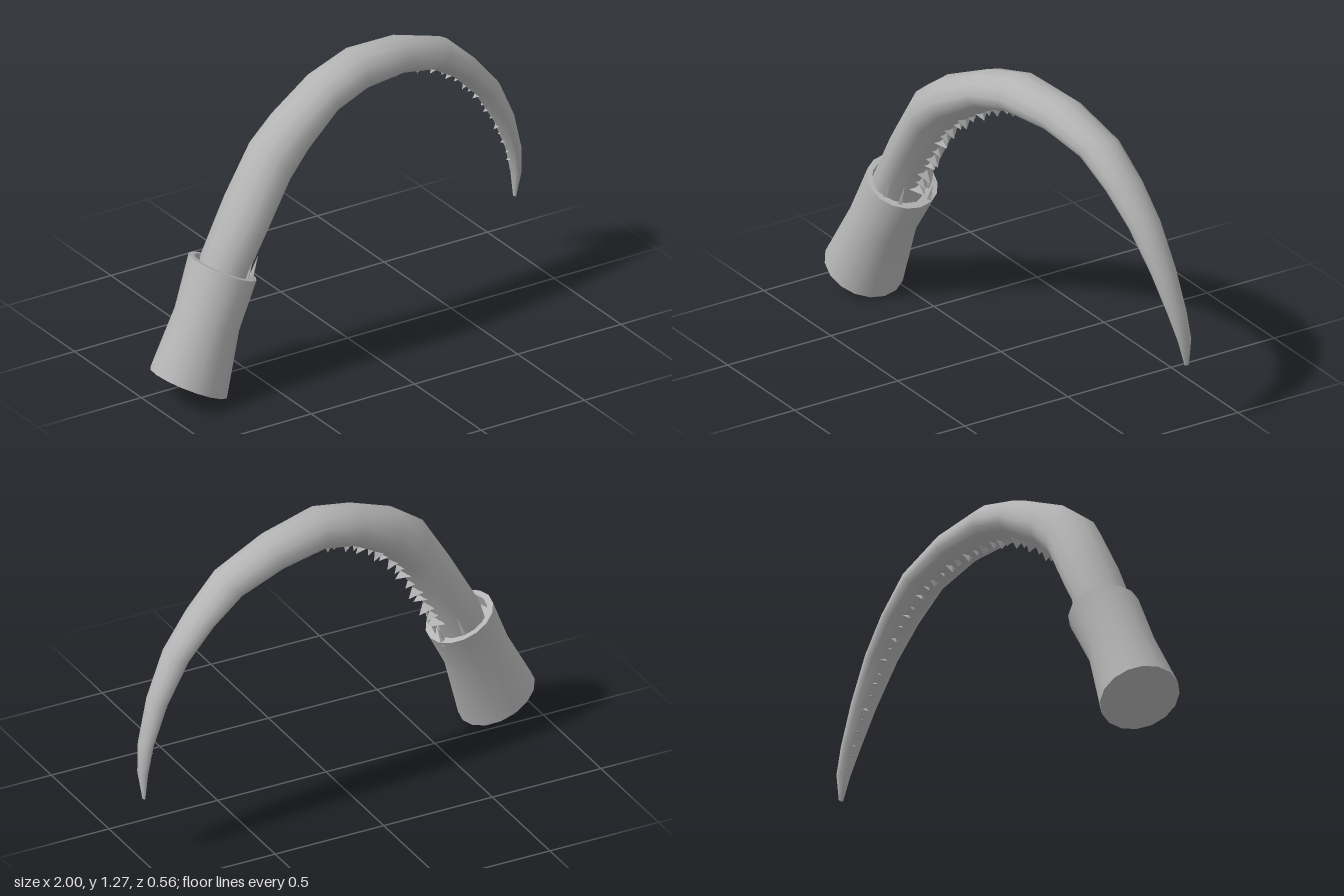
import * as THREE from 'three';
import { mergeGeometries, toCreasedNormals } from 'three/addons/utils/BufferGeometryUtils.js';

// Stations: [outerX, outerY, innerX, innerY, centreZ, halfWidth]
const BLADE = [
  [-0.77, 0.48, -0.60, 0.38, 0.08, 0.11], [-0.73, 0.60, -0.55, 0.52, 0.07, 0.12],
  [-0.60, 0.83, -0.47, 0.66, 0.06, 0.13], [-0.47, 1.04, -0.35, 0.86, 0.05, 0.125],
  [-0.35, 1.13, -0.25, 0.96, 0.03, 0.12], [-0.13, 1.23, -0.08, 1.07, -0.02, 0.115],
  [0.06, 1.28, 0.08, 1.11, -0.05, 0.11], [0.32, 1.25, 0.28, 1.10, -0.10, 0.10],
  [0.57, 1.16, 0.48, 1.05, -0.14, 0.09], [0.72, 1.02, 0.62, 0.96, -0.165, 0.082],
  [0.84, 0.88, 0.74, 0.84, -0.185, 0.07], [0.93, 0.70, 0.85, 0.67, -0.21, 0.055],
  [0.985, 0.52, 0.925, 0.51, -0.235, 0.042], [1.0, 0.40, 0.96, 0.39, -0.255, 0.03],
  [0.985, 0.28, 0.975, 0.28, -0.265, 0.01],
];
const SOCKET = [
  [-1.0, 0.16, -0.69, 0.01, 0.115, 0.165], [-0.87, 0.39, -0.61, 0.285, 0.09, 0.14],
  [-0.78, 0.60, -0.51, 0.47, 0.06, 0.15], [-0.755, 0.59, -0.535, 0.485, 0.06, 0.128],
  [-0.775, 0.54, -0.555, 0.435, 0.065, 0.122],
];

// Half section of the blade as [sideways, inner-to-outer], ridge at the bottom
const half = [[0, 0], [0.3, 0.05], [0.75, 0.18], [0.97, 0.33], [1, 0.5], [0.85, 0.75], [0.5, 0.93], [0, 1]];
const bladeSection = [...half, ...half.slice(1, -1).reverse().map(([t, s]) => [-t, s])];
const roundSection = Array.from({ length: 16 }, (_, i) => {
  const a = (i / 16) * Math.PI * 2;
  return [Math.sin(a), (1 - Math.cos(a)) / 2];
});

// Skins a closed section along the stations and caps both ends
function loft(stations, section, crease) {
  const n = section.length, pos = [], idx = [];
  for (const [ox, oy, ix, iy, z, w] of stations) {
    for (const [t, s] of section) pos.push(ix + (ox - ix) * s, iy + (oy - iy) * s, z + t * w);
  }
  const last = stations.length - 1;
  for (let i = 0; i < last; i++) {
    for (let j = 0; j < n; j++) {
      const a = i * n + j, b = i * n + (j + 1) % n;
      idx.push(a, a + n, b, b, a + n, b + n);
    }
  }
  for (let j = 1; j < n - 1; j++) {
    idx.push(0, j, j + 1, last * n, last * n + j + 1, last * n + j);
  }
  const g = new THREE.BufferGeometry();
  g.setAttribute('position', new THREE.Float32BufferAttribute(pos, 3));
  g.setIndex(idx);
  return toCreasedNormals(g, crease);
}

// Four-sided spike with its base at p, pointing along dir
function spike(p, dir, length, along, across) {
  const g = new THREE.ConeGeometry(1, 1, 4).toNonIndexed();
  g.translate(0, 0.5, 0).scale(along, length, across);
  const x = new THREE.Vector3(dir.y, -dir.x, 0).normalize();
  const z = new THREE.Vector3().crossVectors(x, dir);
  g.applyMatrix4(new THREE.Matrix4().makeBasis(x, dir, z).setPosition(p));
  g.computeVertexNormals();
  return g;
}

export function createModel() {
  const group = new THREE.Group();
  const bone = new THREE.MeshStandardMaterial({ color: 0xb4b4b4 });
  const add = (name, geometry) => {
    const mesh = new THREE.Mesh(geometry, bone);
    mesh.name = name;
    group.add(mesh);
  };

  add('socket', loft(SOCKET, roundSection, 0.7));
  add('curvedBlade', loft(BLADE, bladeSection, 0.75));

  // Serrated teeth along the inner ridge, smaller towards the tip
  const ridge = new THREE.CatmullRomCurve3(BLADE.slice(1, -1).map(r => new THREE.Vector3(r[2], r[3], r[4])));
  const teeth = [], count = 42;
  for (let i = 0; i < count; i++) {
    const f = (i + 0.5) / count;
    const p = ridge.getPointAt(f), tan = ridge.getTangentAt(f);
    const dir = new THREE.Vector3(tan.y, -tan.x, 0).normalize();
    const size = (1 - 0.55 * f) * (i % 2 ? 0.85 : 1.05);
    p.addScaledVector(dir, -0.015);
    p.z -= 0.015 * (1 - f);
    dir.addScaledVector(tan, i % 3 ? -0.25 : 0.2);
    dir.z = 0;
    teeth.push(spike(p, dir.normalize(), 0.062 * size, 0.024 * size, 0.045 * size));
  }
  add('teeth', mergeGeometries(teeth));

  // Splinters standing in the socket mouth around the blade
  const up = new THREE.Vector3(0.35, 0.93, 0).normalize();
  const splinters = [
    [-0.61, 0.49, 0.17, 0.15], [-0.56, 0.47, 0.13, 0.12], [-0.545, 0.46, 0.0, 0.1],
    [-0.62, 0.49, -0.05, 0.14], [-0.69, 0.53, 0.16, 0.17],
  ].map(([x, y, z, l]) => spike(new THREE.Vector3(x, y, z), up, l, 0.015, 0.015));
  add('splinters', mergeGeometries(splinters));

  return group;
}
